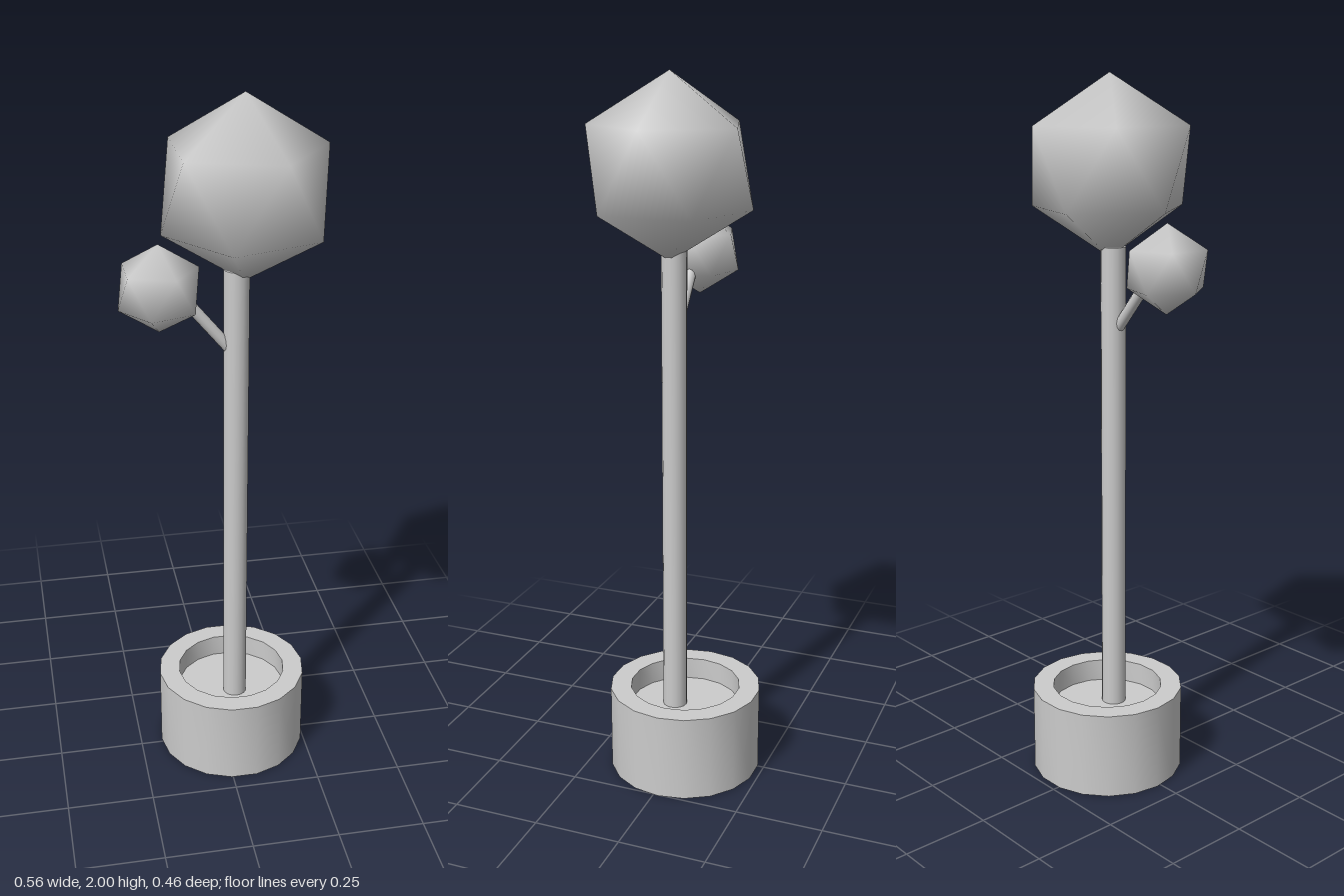
import * as THREE from 'three';
import { toCreasedNormals } from 'three/addons/utils/BufferGeometryUtils.js';

const material = new THREE.MeshStandardMaterial({ color: 0xcccccc });

function part(name, geometry, x, y, z) {
  const mesh = new THREE.Mesh(geometry, material);
  mesh.name = name;
  mesh.position.set(x, y, z);
  return mesh;
}

// Icosahedron standing on one corner, with smooth normals
function crownGeometry(radius) {
  const geo = new THREE.IcosahedronGeometry(radius, 0);
  geo.rotateZ(-Math.atan(2 / (1 + Math.sqrt(5))));
  const pos = geo.attributes.position;
  const normal = geo.attributes.normal;
  const v = new THREE.Vector3();
  for (let i = 0; i < pos.count; i++) {
    v.fromBufferAttribute(pos, i).normalize();
    normal.setXYZ(i, v.x, v.y, v.z);
  }
  return geo;
}

// Round rod between two points
function rod(name, from, to, radius, sides) {
  const dir = to.clone().sub(from);
  const mid = from.clone().add(to).multiplyScalar(0.5);
  const mesh = part(name, new THREE.CylinderGeometry(radius, radius, dir.length(), sides), mid.x, mid.y, mid.z);
  mesh.quaternion.setFromUnitVectors(new THREE.Vector3(0, 1, 0), dir.normalize());
  return mesh;
}

export function createModel() {
  const group = new THREE.Group();
  group.name = 'pottedTree';

  // Pot with a thick rim and a recessed soil surface
  const profile = [[0, 0], [0.22, 0], [0.22, 0.25], [0.16, 0.25], [0.16, 0.185], [0, 0.185]]
    .map(([r, y]) => new THREE.Vector2(r, y));
  const pot = new THREE.LatheGeometry(profile, 18, Math.PI / 18);
  group.add(part('pot', toCreasedNormals(pot, Math.PI / 5), 0.034, 0, -0.014));

  // Trunk and side branch
  group.add(rod('trunk', new THREE.Vector3(0.039, 0.18, 0.016), new THREE.Vector3(0.039, 1.54, 0.016), 0.035, 16));
  group.add(rod('branch', new THREE.Vector3(0.03, 1.305, 0.016), new THREE.Vector3(-0.11, 1.475, 0.018), 0.016, 12));

  // Foliage
  group.add(part('largeCrown', crownGeometry(0.246), 0.058, 1.754, 0.02));
  group.add(part('smallCrown', crownGeometry(0.121), -0.17, 1.5, 0.02));

  return group;
}
